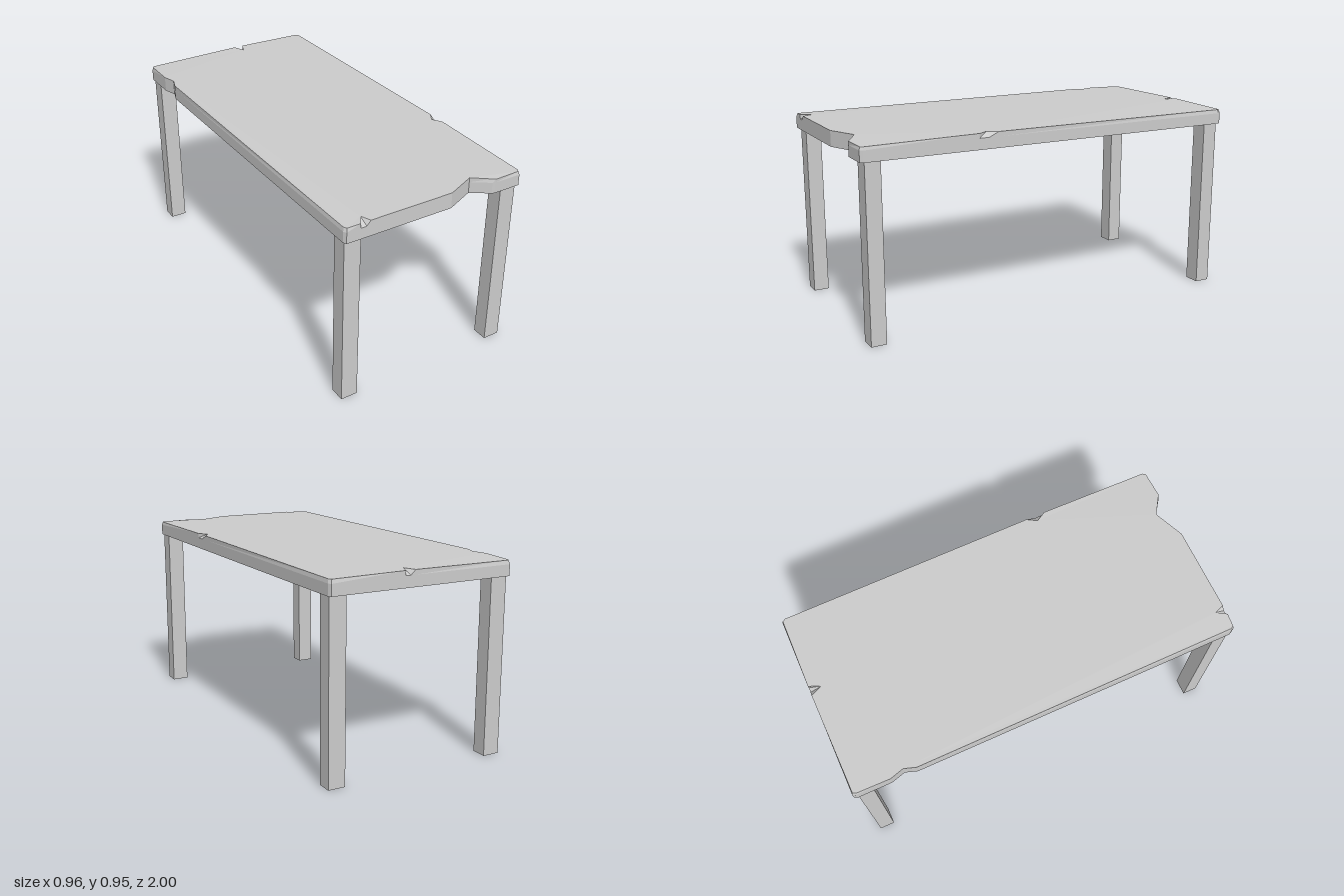
import * as THREE from 'three';

const material = new THREE.MeshStandardMaterial({ color: 0xcccccc, flatShading: true });

// Worn slab outline: x, z, then how far the top edge is chipped inward (dx, dz) and down (dy)
const outline = [
  [-0.47, 1, 0.005, -0.005, 0.004],
  [-0.4, 1], [-0.37, 1, 0, -0.05], [-0.35, 1],          // front chip
  [0.08, 1], [0.23, 0.935], [0.315, 0.995, 0, -0.005, 0.005], [0.33, 1, 0, 0, 0.006], // front notch
  [0.47, 1, -0.005, -0.005, 0.007],
  [0.478, 0.985, -0.004, -0.005, 0.007],
  [0.478, 0.42], [0.478, 0.37, -0.03, 0], [0.478, 0.32], // side chip
  [0.478, -0.985, -0.004, 0.005, 0.004],
  [0.47, -1, -0.005, 0.005, 0.004],
  [0.1, -1], [0.075, -1, 0, 0.06], [0.05, -1],          // back chip
  [-0.47, -1, 0.005, 0.005, 0.004],
  [-0.478, -0.985, 0.004, 0.005, 0.004],
  [-0.478, -0.81], [-0.458, -0.74], [-0.478, -0.68],    // side notch
  [-0.478, 0.985, 0.004, -0.005, 0.004],
];

// Slab from three stacked rings with triangulated caps
function slabGeometry() {
  const n = outline.length;
  const positions = [];
  const index = [];
  for (const y of [0.87, 0.925, 0.948]) {
    const top = y > 0.93 ? 1 : 0;
    for (const [x, z, dx = 0, dz = 0, dy = 0] of outline) {
      positions.push(x + dx * top, y - dy * top, z + dz * top);
    }
  }
  for (let ring = 0; ring < 2; ring++) {
    for (let i = 0; i < n; i++) {
      const a = ring * n + i;
      const b = ring * n + (i + 1) % n;
      index.push(a, b, b + n, a, b + n, a + n);
    }
  }
  for (const ring of [0, 2]) {
    const contour = outline.map((p, i) => new THREE.Vector2(
      positions[(ring * n + i) * 3], -positions[(ring * n + i) * 3 + 2]));
    for (const [a, b, c] of THREE.ShapeUtils.triangulateShape(contour, [])) {
      const o = ring * n;
      if (ring) index.push(o + a, o + b, o + c);
      else index.push(o + a, o + c, o + b);
    }
  }
  const geometry = new THREE.BufferGeometry();
  geometry.setAttribute('position', new THREE.Float32BufferAttribute(positions, 3));
  geometry.setIndex(index);
  const flat = geometry.toNonIndexed();
  flat.computeVertexNormals();
  return flat;
}

export function createModel() {
  const table = new THREE.Group();
  table.name = 'table';

  const slab = new THREE.Mesh(slabGeometry(), material);
  slab.name = 'tableTop';
  table.add(slab);

  // Four square legs
  const legGeometry = new THREE.BoxGeometry(0.085, 0.872, 0.077);
  for (const [side, sx] of [['Left', 1], ['Right', -1]]) {
    for (const [end, sz] of [['front', 1], ['back', -1]]) {
      const leg = new THREE.Mesh(legGeometry, material);
      leg.name = `${end}${side}Leg`;
      leg.position.set(sx * 0.426, 0.436, sz * 0.94);
      table.add(leg);
    }
  }
  return table;
}
